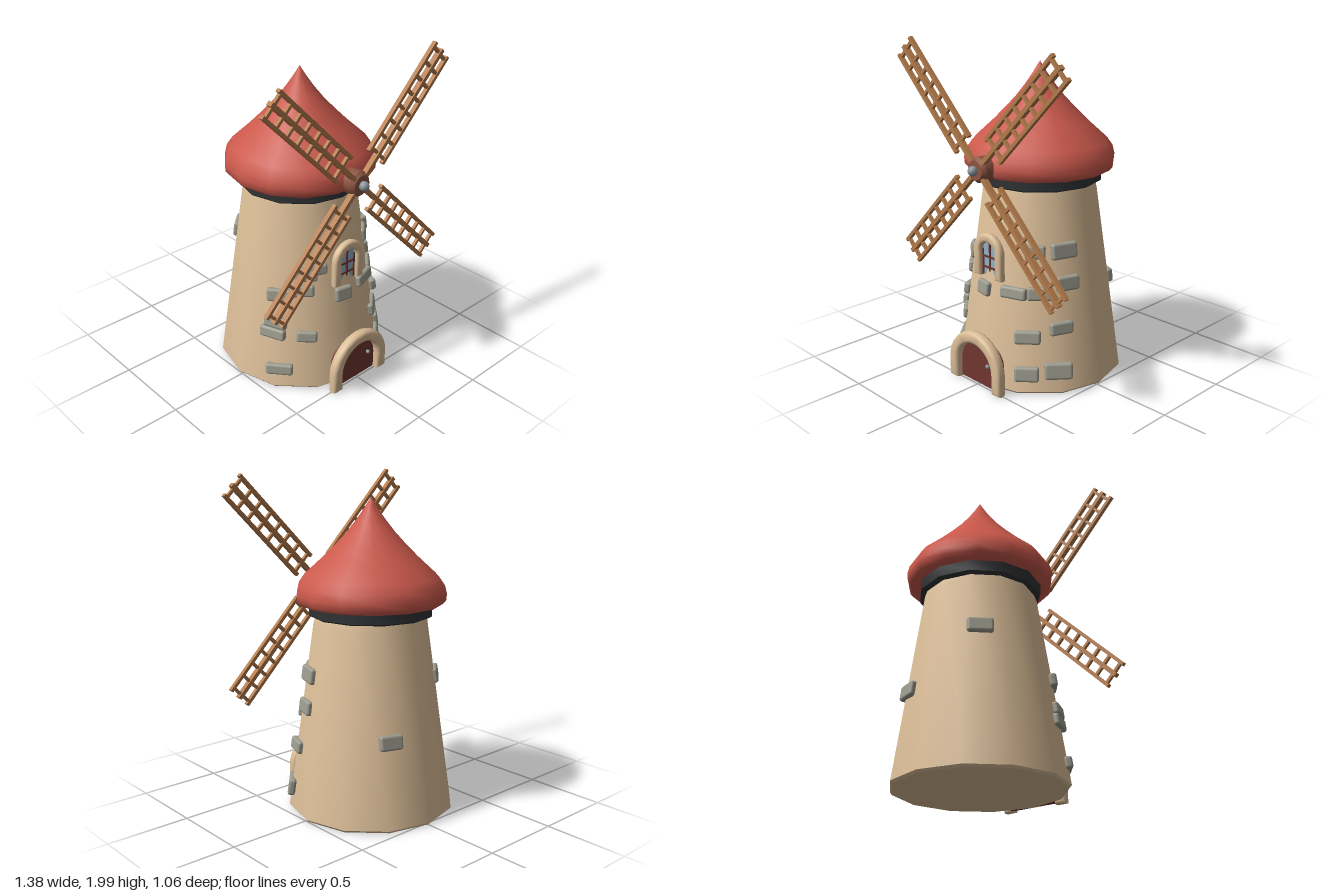
import * as THREE from 'three';
import { toCreasedNormals } from 'three/addons/utils/BufferGeometryUtils.js';
import { RoundedBoxGeometry } from 'three/addons/geometries/RoundedBoxGeometry.js';

const mat = (name, color) => {
  const m = new THREE.MeshStandardMaterial({ color });
  m.name = name;
  return m;
};

export function createModel() {
  const plaster = mat('plaster', 0xdcbe98);
  const roofRed = mat('roofRed', 0xcb594c);
  const bandBlack = mat('bandBlack', 0x303234);
  const wood = mat('wood', 0xb57c4c);
  const hubBrown = mat('hubBrown', 0x8c5340);
  const doorRed = mat('doorRed', 0x71362f);
  const stoneGrey = mat('stoneGrey', 0x9d9c8f);
  const metal = mat('metal', 0x8c989c);
  const glass = mat('glass', 0x8fb3cb);

  const model = new THREE.Group();
  const CZ = -0.02; // tower axis
  const add = (name, geo, material, x = 0, y = 0, z = 0, parent = model) => {
    const m = new THREE.Mesh(geo, material);
    m.name = name;
    m.position.set(x, y, z);
    parent.add(m);
    return m;
  };
  const lathe = (pts, sides, start = 0, crease = 0.7) => toCreasedNormals(
    new THREE.LatheGeometry(pts.map(p => new THREE.Vector2(...p)), sides, start), crease);

  // Tower, band and roof
  add('tower', lathe([[0, 0], [0.495, 0], [0.507, 0.014], [0.345, 1.14], [0.325, 1.2], [0, 1.2]], 12),
    plaster, 0, 0, CZ);
  add('band', lathe([[0, 1.178], [0.362, 1.178], [0.37, 1.186], [0.37, 1.262], [0, 1.262]], 12),
    bandBlack, 0, 0, CZ);
  add('roof', lathe([[0, 1.25], [0.425, 1.25], [0.443, 1.27], [0.447, 1.31], [0.435, 1.36], [0.40, 1.41],
    [0.29, 1.51], [0.215, 1.585], [0.145, 1.66], [0.085, 1.735], [0.04, 1.80], [0, 1.865]], 14, Math.PI / 2, 0.9),
  roofRed, 0, 0, CZ);

  // Arch outline: straight legs topped by a half circle
  const arch = (path, r, y0, yc) => {
    path.moveTo(r, y0);
    path.lineTo(r, yc);
    path.absarc(0, yc, r, 0, Math.PI, false);
    path.lineTo(-r, y0);
    path.closePath();
    return path;
  };
  const archFrame = (inner, outer, y0, yc, depth, bevel) => {
    const s = new THREE.Shape();
    const i = inner + bevel, o = outer - bevel;
    s.moveTo(o, y0 + bevel);
    s.lineTo(o, yc);
    s.absarc(0, yc, o, 0, Math.PI, false);
    s.lineTo(-o, y0 + bevel);
    s.lineTo(-i, y0 + bevel);
    s.lineTo(-i, yc);
    s.absarc(0, yc, i, Math.PI, 0, true);
    s.lineTo(i, y0 + bevel);
    s.closePath();
    const g = new THREE.ExtrudeGeometry(s, {
      depth: depth - 2 * bevel, bevelThickness: bevel, bevelSize: bevel, bevelSegments: 2, curveSegments: 8 });
    g.translate(0, 0, bevel);
    return toCreasedNormals(g, 0.85);
  };
  const archPanel = (r, y0, yc, depth) => toCreasedNormals(new THREE.ExtrudeGeometry(
    arch(new THREE.Shape(), r, y0, yc), { depth, bevelEnabled: false, curveSegments: 8 }), 0.6);

  // Door
  add('doorFrame', archFrame(0.15, 0.22, 0, 0.115, 0.062, 0.018), plaster, 0, 0, 0.472);
  add('door', archPanel(0.157, 0.005, 0.112, 0.13), doorRed, 0, 0, 0.36);
  add('doorKnob', new THREE.SphereGeometry(0.013, 10, 8), metal, 0.09, 0.145, 0.5);

  // Window
  add('windowFrame', archFrame(0.063, 0.115, 0.65, 0.802, 0.045, 0.014), plaster, 0, 0, 0.37);
  add('windowGlass', archPanel(0.07, 0.655, 0.802, 0.05), glass, 0, 0, 0.334);
  for (const x of [-0.059, 0, 0.059])
    add('windowBar', new THREE.BoxGeometry(0.012, x ? 0.16 : 0.21, 0.012), doorRed, x, x ? 0.735 : 0.762, 0.384);
  for (const y of [0.705, 0.77])
    add('windowBar', new THREE.BoxGeometry(0.13, 0.012, 0.012), doorRed, 0, y, 0.384);

  // Wall stones: angle round the tower in degrees, height, width, stone height, tilt
  const stones = [
    [-37, 0.745, 0.13, 0.088, 0.04], [-27, 0.77, 0.11, 0.065, 0], [-41, 0.64, 0.15, 0.072, 0.04],
    [-59, 0.612, 0.145, 0.08, 0], [-5, 0.58, 0.112, 0.088, 0], [24, 0.592, 0.165, 0.072, 0],
    [45, 0.595, 0.145, 0.08, 0], [68, 0.648, 0.145, 0.088, 0], [41, 0.835, 0.12, 0.08, 0],
    [66, 0.838, 0.16, 0.095, 0], [36, 0.34, 0.155, 0.08, 0], [61, 0.395, 0.145, 0.076, 0],
    [36, 0.122, 0.145, 0.09, 0], [58, 0.142, 0.165, 0.1, 0], [-61, 0.437, 0.145, 0.075, 0],
    [-63, 0.362, 0.165, 0.07, 0], [-37, 0.35, 0.125, 0.07, -0.03], [-57, 0.13, 0.165, 0.07, 0],
    [153, 0.52, 0.14, 0.09, 0], [220, 0.83, 0.15, 0.09, 0],
  ];
  for (const [deg, y, w, h, tilt] of stones) {
    const a = THREE.MathUtils.degToRad(deg);
    const off = THREE.MathUtils.degToRad(((deg % 30) + 30) % 30 - 15);
    const r = (0.509 - 0.144 * y) * Math.cos(Math.PI / 12) / Math.cos(off) + 0.002;
    const s = add('wallStone', new RoundedBoxGeometry(w, h, 0.045, 2, 0.016), stoneGrey,
      r * Math.sin(a), y, CZ + r * Math.cos(a));
    s.rotation.set(-0.143, a - off * 0.6, tilt, 'YXZ');
  }

  // Hub
  const hubY = 1.305, bladeZ = 0.463;
  const hub = add('hub', lathe([[0, 0], [0.075, 0], [0.075, 0.1], [0.058, 0.122], [0, 0.122]], 12, 0, 0.6),
    hubBrown, 0, hubY, 0.365);
  hub.rotation.x = Math.PI / 2;
  add('hubCap', new THREE.SphereGeometry(0.029, 14, 10), metal, 0, hubY, 0.503);

  // Sails: a spine, two side rails and rungs, four times round the hub
  for (let k = 0; k < 4; k++) {
    const sail = new THREE.Group();
    sail.name = 'sail';
    sail.position.set(0, hubY, bladeZ);
    sail.rotation.z = Math.PI / 4 + k * Math.PI / 2;
    model.add(sail);
    add('sailSpine', new THREE.BoxGeometry(0.025, 0.85, 0.034), wood, 0, 0.465, 0, sail);
    for (const x of [-0.076, 0.076])
      add('sailRail', new THREE.BoxGeometry(0.02, 0.715, 0.026), wood, x, 0.5315, 0, sail);
    for (let i = 0; i < 8; i++)
      add('sailRung', new THREE.BoxGeometry(0.165, 0.017, 0.02), wood, 0, 0.2 + i * 0.095, 0, sail);
  }
  return model;
}
